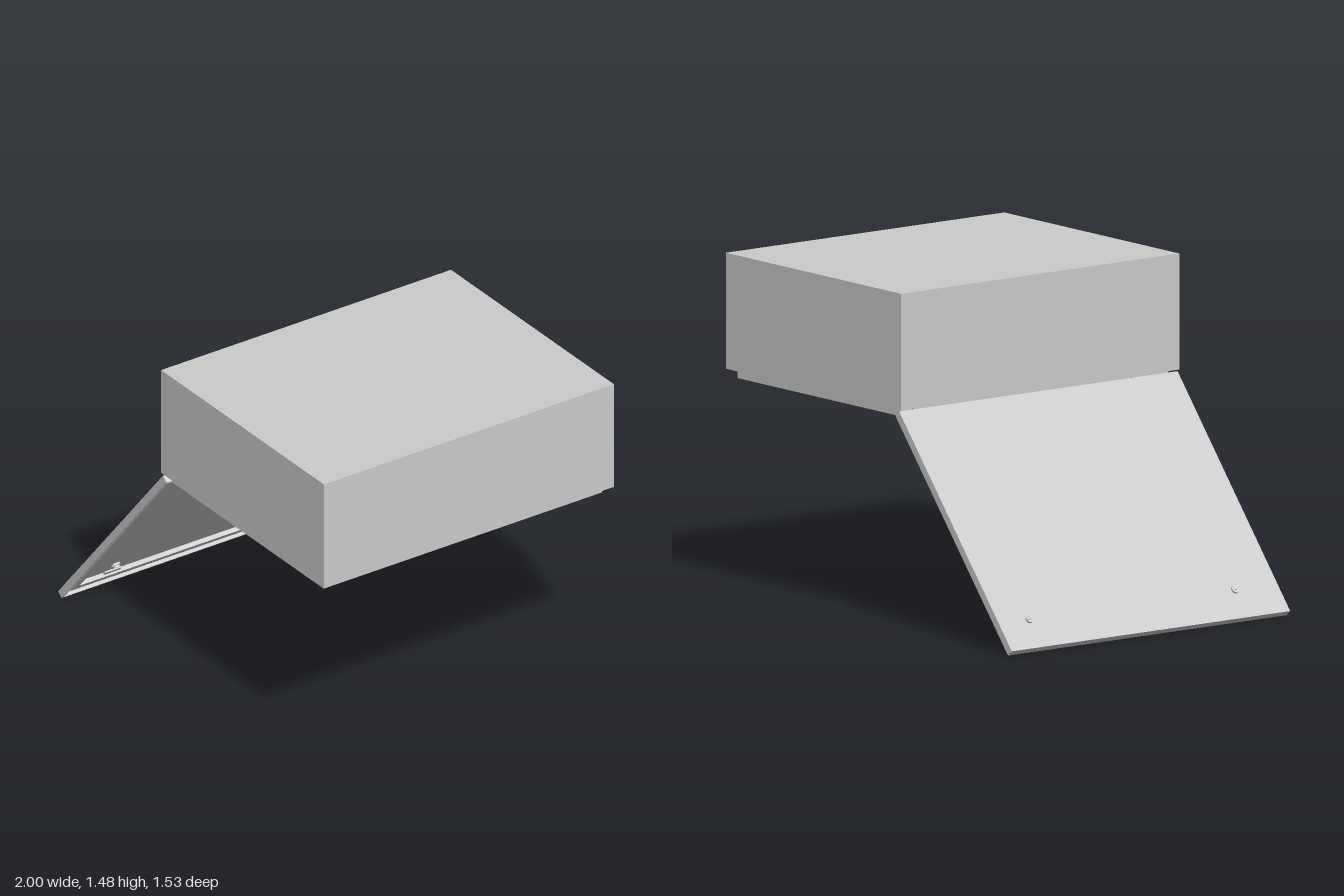
import * as THREE from 'three';

const material = new THREE.MeshStandardMaterial({ color: 0xcccccc });

function add(parent, name, geometry, x = 0, y = 0, z = 0) {
  const mesh = new THREE.Mesh(geometry, material);
  mesh.name = name;
  mesh.position.set(x, y, z);
  parent.add(mesh);
  return mesh;
}

// Rectangular frame lying in the xz plane, with walls of width t, rising from y0 by h
function frame(x0, x1, halfZ, t, y0, h) {
  const rect = (Type, i) => {
    const p = new Type();
    p.moveTo(x0 + i, -halfZ + i);
    p.lineTo(x1 - i, -halfZ + i);
    p.lineTo(x1 - i, halfZ - i);
    p.lineTo(x0 + i, halfZ - i);
    p.closePath();
    return p;
  };
  const shape = rect(THREE.Shape, 0);
  shape.holes.push(rect(THREE.Path, t));
  return new THREE.ExtrudeGeometry(shape, { depth: h, bevelEnabled: false })
    .rotateX(-Math.PI / 2).translate(0, y0, 0);
}

function createBody() {
  const body = new THREE.Group();
  body.name = 'cabinetBody';
  const x0 = -0.225, x1 = 1, halfZ = 0.765, wall = 0.008;
  add(body, 'sideWalls', frame(x0, x1, halfZ, wall, 0.97, 0.502));
  add(body, 'backPanel', new THREE.BoxGeometry(x1 - x0, wall, halfZ * 2), (x0 + x1) / 2, 1.476, 0);
  // Folded flange and the collar round the opening
  add(body, 'openingFlange', frame(x0, x1, halfZ, 0.05, 0.97, wall));
  add(body, 'openingCollar', frame(-0.185, 0.955, 0.735, 0.015, 0.932, 0.04));
  return body;
}

// Door: x runs from hinge edge to free edge, y points to the inside
function createDoor() {
  const door = new THREE.Group();
  door.name = 'door';
  const length = 1.225, halfZ = 0.765, depth = 0.035, sheet = 0.008;
  add(door, 'doorPanel', new THREE.BoxGeometry(length, sheet, halfZ * 2), length / 2, sheet / 2, 0);
  add(door, 'doorRim', frame(0, length, halfZ, sheet, sheet, depth - sheet));
  add(door, 'gasket', frame(0.04, length - 0.04, 0.735, 0.034, sheet, 0.02));

  // Two quarter-turn locks with cams
  for (const z of [0.53, -0.6]) {
    const lock = new THREE.Group();
    lock.name = 'lock';
    lock.position.set(1.085, 0, z);
    add(lock, 'lockHead', new THREE.CylinderGeometry(0.018, 0.018, 0.008, 24), 0, -0.004, 0);
    add(lock, 'lockSlot', new THREE.BoxGeometry(0.006, 0.004, 0.022), 0, -0.009, 0);
    add(lock, 'lockBarrel', new THREE.CylinderGeometry(0.015, 0.015, 0.022, 24), 0, 0.017, 0);
    add(lock, 'lockNut', new THREE.CylinderGeometry(0.024, 0.024, 0.01, 6), 0, 0.013, 0);
    add(lock, 'lockCam', new THREE.BoxGeometry(0.022, 0.007, 0.085), 0, 0.03, 0.028);
    door.add(lock);
  }
  return door;
}

// Hinge: leaf on the collar, leaf on the door and a pin between them
function createHinge(z) {
  const hinge = new THREE.Group();
  hinge.name = 'hinge';
  hinge.position.set(-0.188, 0.938, z);
  add(hinge, 'hingePin', new THREE.CylinderGeometry(0.008, 0.008, 0.105, 16).rotateX(Math.PI / 2));
  for (const s of [-1, 1]) {
    add(hinge, 'hingeKnuckle', new THREE.BoxGeometry(0.026, 0.016, 0.03), 0.002, 0.002, s * 0.0375);
  }
  add(hinge, 'bodyLeaf', new THREE.BoxGeometry(0.008, 0.036, 0.1), -0.001, 0.018, 0);
  const leaf = add(hinge, 'doorLeaf', new THREE.BoxGeometry(0.036, 0.008, 0.045), -0.014, -0.012, 0);
  leaf.rotation.z = THREE.MathUtils.degToRad(-130);
  return hinge;
}

export function createModel() {
  const model = new THREE.Group();
  model.name = 'openEnclosure';
  model.add(createBody());

  const door = createDoor();
  door.position.set(-0.212, 0.961, 0);
  door.rotation.z = THREE.MathUtils.degToRad(-130);
  model.add(door);

  for (const z of [0.578, -0.022, -0.622]) model.add(createHinge(z));
  return model;
}
